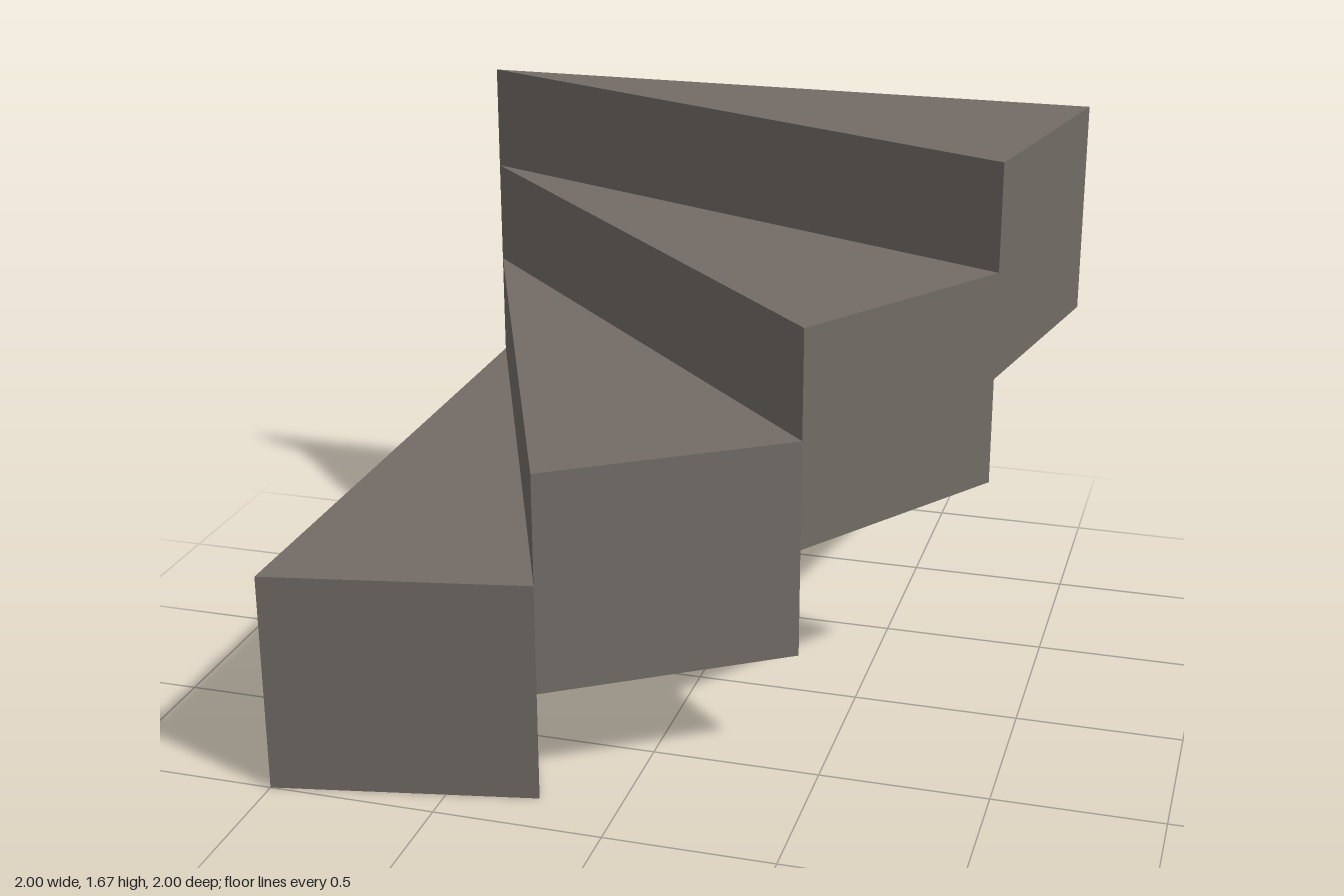
import * as THREE from 'three';

export function createModel() {
  const model = new THREE.Group();
  model.name = 'windingStairs';

  const stone = new THREE.MeshStandardMaterial({ color: 0x736c66 });
  stone.name = 'warm grey stone';

  const steps = 4;
  const radius = 2;
  const rise = 1 / 3;
  const sweep = Math.PI / 2 / steps;

  // Wedge outline with its tip at the shared inner corner; shape y runs toward -z
  const rim = (a) => [-1 + radius * Math.cos(a), 1 - radius * Math.sin(a)];

  // Each tread is two rises tall and overlaps the one below by a single rise
  for (let i = 0; i < steps; i++) {
    const start = Math.PI / 2 - i * sweep;
    const outline = new THREE.Shape();
    outline.moveTo(-1, 1);
    outline.lineTo(...rim(start));
    outline.lineTo(...rim(start - sweep));
    outline.closePath();

    const wedge = new THREE.ExtrudeGeometry(outline, { depth: rise * 2, bevelEnabled: false });
    wedge.rotateX(-Math.PI / 2);
    wedge.translate(0, i * rise, 0);

    const step = new THREE.Mesh(wedge, stone);
    step.name = `step${i + 1}`;
    model.add(step);
  }
  return model;
}
